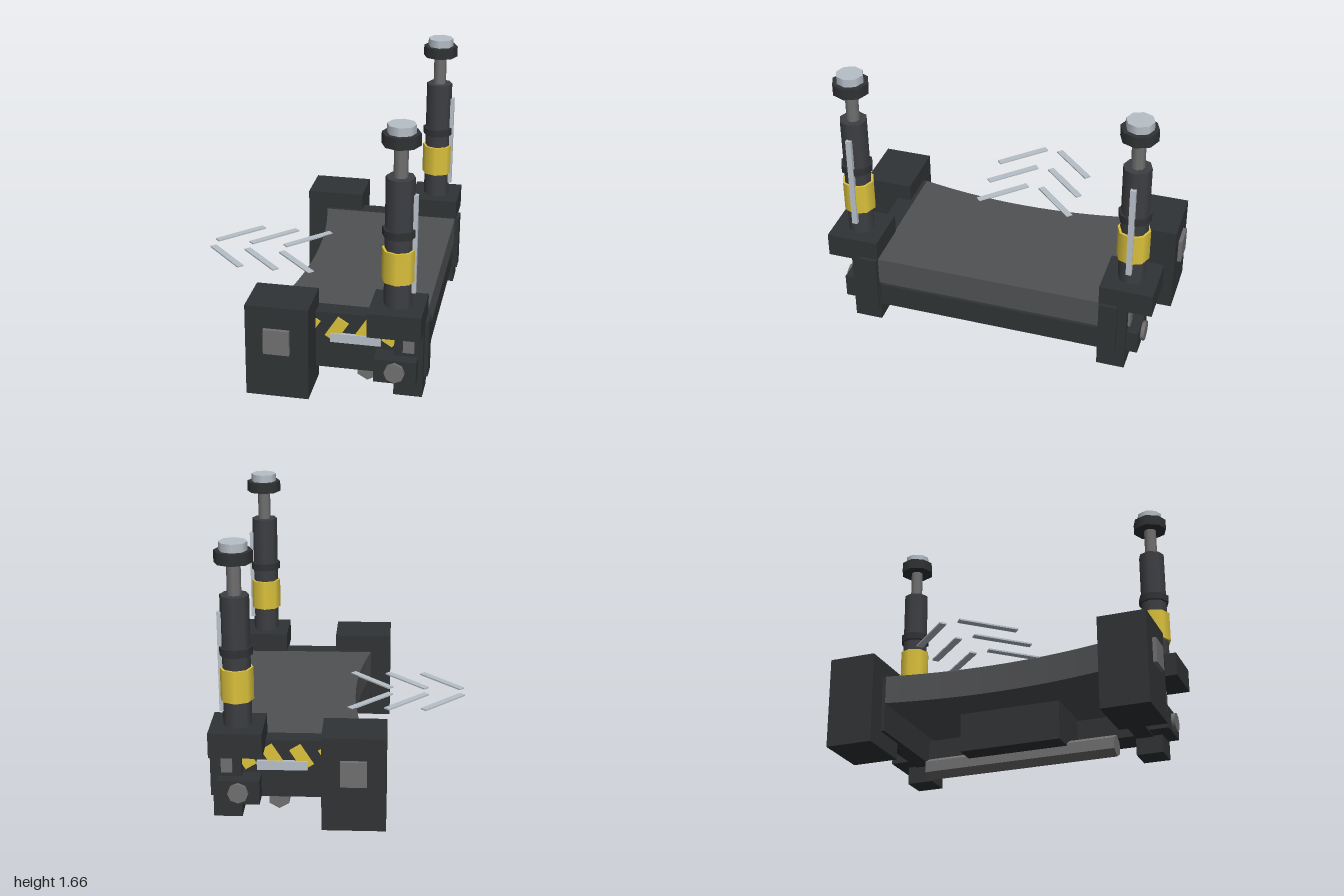
import * as THREE from 'three';

const mat = (color) => new THREE.MeshStandardMaterial({ color });
const dark = mat(0x303335);
const deckGrey = mat(0x505153);
const columnGrey = mat(0x3e3f43);
const steel = mat(0x707070);
const light = mat(0xb8c0c8);
const yellow = mat(0xdcc23c);

function add(parent, name, geometry, material) {
  const mesh = new THREE.Mesh(geometry, material);
  mesh.name = name;
  parent.add(mesh);
  return mesh;
}

// Box given by its limits on each axis
function box(parent, name, [x0, x1], [y0, y1], [z0, z1], material) {
  const mesh = add(parent, name, new THREE.BoxGeometry(x1 - x0, y1 - y0, z1 - z0), material);
  mesh.position.set((x0 + x1) / 2, (y0 + y1) / 2, (z0 + z1) / 2);
  return mesh;
}

// Upright eight-sided cylinder between two heights
function drum(parent, name, x, z, r, y0, y1, material) {
  const mesh = add(parent, name, new THREE.CylinderGeometry(r, r, y1 - y0, 8), material);
  mesh.position.set(x, (y0 + y1) / 2, z);
  return mesh;
}

// Telescopic column with its bands and top cap
function createColumn(z) {
  const g = new THREE.Group();
  const x = 0.556;
  g.name = 'column';
  drum(g, 'columnTube', x, z, 0.08, 0.6, 1.365, columnGrey);
  drum(g, 'yellowBand', x, z, 0.094, 0.77, 0.955, yellow);
  drum(g, 'clampRing', x, z, 0.094, 1.03, 1.075, dark);
  drum(g, 'pistonRod', x, z, 0.039, 1.36, 1.56, steel);
  drum(g, 'collar', x, z, 0.105, 1.545, 1.61, dark);
  drum(g, 'topCap', x, z, 0.078, 1.6, 1.657, light);
  box(g, 'columnStrip', [0.625, 0.653], [0.7, 1.268], [z - 0.016, z + 0.016], light);
  return g;
}

// Everything on one side; s is +1 or -1 along z
function createSide(s) {
  const g = new THREE.Group();
  g.name = s > 0 ? 'frontSide' : 'backSide';
  const part = (name, xs, ys, [a, b], material) =>
    box(g, name, xs, ys, s > 0 ? [a, b] : [-b, -a], material);

  part('sideRail', [-0.14, 0.725], [0.162, 0.506], [0.67, 0.775], dark);
  part('endBlock', [-0.265, 0.09], [0.06, 0.61], [0.692, 0.977], dark);
  part('endPad', [-0.16, -0.013], [0.332, 0.48], [0.97, 1.0], steel);
  part('cornerCap', [0.41, 0.705], [0.48, 0.622], [0.665, 0.97], dark);
  part('cornerPost', [0.542, 0.703], [0.06, 0.49], [0.665, 0.828], dark);
  part('postPad', [0.592, 0.655], [0.335, 0.478], [0.82, 0.842], steel);
  part('pinBlock', [0.437, 0.675], [0.168, 0.308], [0.76, 0.895], dark);
  part('lightBar', [0.176, 0.46], [0.332, 0.386], [0.77, 0.793], light);

  const pin = add(g, 'pin', new THREE.CylinderGeometry(0.058, 0.058, 0.05, 8), steel);
  pin.rotation.x = Math.PI / 2;
  pin.position.set(0.556, 0.24, s * 0.892);

  // Slanted warning stripes
  for (let i = 0; i < 4; i++) {
    const stripe = add(g, 'warningStripe', new THREE.BoxGeometry(0.072, 0.14, 0.016), yellow);
    stripe.position.set(0.05 + i * 0.16, 0.408, s * 0.777);
    stripe.rotation.z = -0.56;
  }

  g.add(createColumn(s * 0.815));
  return g;
}

export function createModel() {
  const model = new THREE.Group();
  model.name = 'platformRig';

  // Deck with a hollowed edge
  const outline = new THREE.Shape();
  outline.moveTo(-0.14, -0.675);
  outline.lineTo(0.7, -0.675);
  outline.lineTo(0.7, 0.675);
  outline.lineTo(-0.14, 0.675);
  outline.quadraticCurveTo(0.01, 0, -0.14, -0.675);
  const deckGeometry = new THREE.ExtrudeGeometry(outline, {
    depth: 0.17, bevelEnabled: false, curveSegments: 16,
  });
  deckGeometry.rotateX(-Math.PI / 2);
  add(model, 'deck', deckGeometry, deckGrey).position.y = 0.335;

  // Underside: cross beam, mount and hexagonal bar
  box(model, 'crossBeam', [0.5, 0.69], [0.165, 0.31], [-0.67, 0.67], dark);
  box(model, 'underMount', [0.165, 0.542], [0.085, 0.322], [-0.313, 0.313], dark);
  const barGeometry = new THREE.CylinderGeometry(0.067, 0.067, 1.2, 6).toNonIndexed();
  barGeometry.computeVertexNormals();
  const bar = add(model, 'hexBar', barGeometry, steel);
  bar.rotation.x = Math.PI / 2;
  bar.position.set(0.356, 0.067, 0);

  // Three floating chevrons, each of two thin bars
  for (let i = 0; i < 3; i++) {
    for (const s of [1, -1]) {
      const arm = add(model, 'chevronArm', new THREE.BoxGeometry(0.345, 0.009, 0.04), light);
      arm.position.set(-0.59 + i * 0.216, 0.505, s * 0.17);
      arm.rotation.y = -s * 0.81;
    }
  }

  model.add(createSide(1), createSide(-1));
  return model;
}
